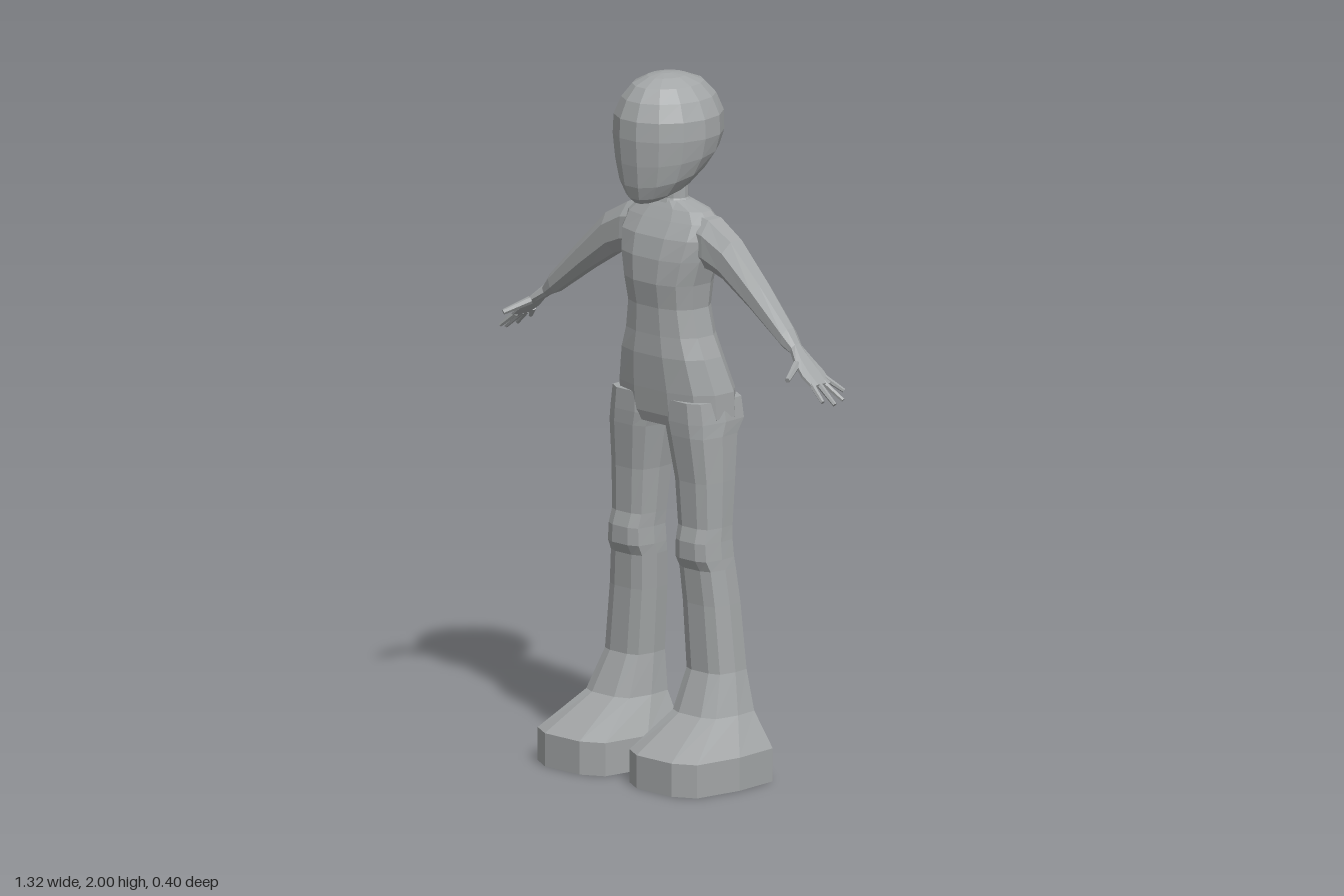
import * as THREE from 'three';

const grey = new THREE.MeshStandardMaterial({ color: 0xa3a6a7 });
grey.name = 'plain grey';

// Unit cross-sections, running from the front (or top) round to the side
const oval = (n, power = 1) => Array.from({ length: n }, (_, i) => {
  const a = ((i + 0.5) / n) * Math.PI * 2;
  const f = (t) => Math.sign(t) * Math.abs(t) ** power;
  return [f(Math.sin(a)), f(Math.cos(a))];
});
const round = oval(14);
const body = oval(12, 0.8);
const arm = oval(8, 0.9);
const sole = [[0.45, 1], [0.88, 0.8], [1, 0], [0.9, -0.78], [0.42, -1],
  [-0.42, -1], [-0.9, -0.78], [-1, 0], [-0.88, 0.8], [-0.45, 1]];

// Flat-shaded skin over a list of rings, closed at both ends
function loft(rings, flip = false) {
  const out = [];
  const tri = (a, b, c) => out.push(...a, ...(flip ? [...c, ...b] : [...b, ...c]));
  const n = rings[0].length;
  const mid = (r) => [0, 1, 2].map((k) => r.reduce((s, p) => s + p[k], 0) / n);
  const first = rings[0], last = rings[rings.length - 1];
  const c0 = mid(first), c1 = mid(last);
  for (let j = 0; j < n; j++) {
    const k = (j + 1) % n;
    for (let i = 0; i < rings.length - 1; i++) {
      const a = rings[i], b = rings[i + 1];
      tri(a[j], a[k], b[k]);
      tri(a[j], b[k], b[j]);
    }
    tri(c0, first[k], first[j]);
    tri(c1, last[j], last[k]);
  }
  const g = new THREE.BufferGeometry();
  g.setAttribute('position', new THREE.Float32BufferAttribute(out, 3));
  g.computeVertexNormals();
  return g;
}

// Level ring between xa..xb and back..front; tilt lowers it towards the front
const level = (profile, y, xa, xb, front, back, tilt = 0) => profile.map(([u, v]) => {
  const z = (front + back) / 2 + (v * (front - back)) / 2;
  return [(xa + xb) / 2 + (u * (xb - xa)) / 2, y - tilt * z, z];
});

// Arm ring between an upper and a lower edge point
const slanted = (s, xt, yt, xb, yb, front, back) => arm.map(([u, v]) => [
  s * ((xt + xb) / 2 + (v * (xt - xb)) / 2),
  (yt + yb) / 2 + (v * (yt - yb)) / 2,
  (front + back) / 2 + (u * (front - back)) / 2,
]);

export function createModel() {
  const model = new THREE.Group();
  model.name = 'figure';
  const add = (name, geometry, parent = model) => {
    const m = new THREE.Mesh(geometry, grey);
    m.name = name;
    parent.add(m);
    return m;
  };

  // Head: y, half width, front z, back z, tilt
  add('head', loft([
    [1.662, 0.05, 0.085, -0.05, 0.25], [1.68, 0.085, 0.1, -0.1, 0.25],
    [1.72, 0.118, 0.112, -0.15, 0.25], [1.77, 0.138, 0.121, -0.185, 0.12],
    [1.83, 0.148, 0.127, -0.2, 0], [1.885, 0.145, 0.125, -0.2, 0],
    [1.935, 0.122, 0.105, -0.18, 0], [1.972, 0.09, 0.075, -0.145, 0],
    [1.993, 0.05, 0.03, -0.09, 0], [2, 0.015, -0.01, -0.045, 0],
  ].map(([y, w, f, b, t]) => level(round, y, -w, w, f, b, t))));

  add('neck', loft([
    [1.6, 0.075, -0.005, -0.115], [1.64, 0.042, -0.022, -0.098], [1.73, 0.04, -0.02, -0.1],
  ].map(([y, w, f, b]) => level(round, y, -w, w, f, b))));

  // Torso from hips up to shoulders: y, half width, front z, back z
  add('torso', loft([
    [1.0, 0.15, 0.02, -0.13], [1.03, 0.195, 0.03, -0.18], [1.1, 0.193, 0.038, -0.18],
    [1.2, 0.166, 0.047, -0.15], [1.26, 0.142, 0.046, -0.138], [1.34, 0.127, 0.048, -0.13],
    [1.41, 0.135, 0.06, -0.137], [1.48, 0.155, 0.056, -0.142], [1.54, 0.17, 0.04, -0.14],
    [1.585, 0.165, 0.012, -0.128], [1.615, 0.13, -0.008, -0.115], [1.635, 0.05, -0.022, -0.1],
  ].map(([y, w, f, b]) => level(body, y, -w, w, f, b))));

  for (const s of [1, -1]) {
    const side = s > 0 ? 'left' : 'right';

    // Flared leg: y, inner x, outer x, front z, back z
    const legRings = [
      [0.195, 0.075, 0.27, 0.05, -0.137], [0.31, 0.087, 0.238, 0.0, -0.13],
      [0.5, 0.073, 0.218, 0.0, -0.125], [0.6, 0.066, 0.207, 0.006, -0.117],
      [0.63, 0.065, 0.204, 0.022, -0.115], [0.68, 0.067, 0.2, 0.022, -0.112],
      [0.72, 0.065, 0.198, 0.01, -0.113], [0.85, 0.055, 0.198, 0.014, -0.125],
      [0.98, 0.032, 0.196, 0.028, -0.14], [1.02, 0.02, 0.194, 0.03, -0.172],
      [1.08, 0.02, 0.185, 0.03, -0.17],
    ];
    const ring = ([y, a, b, f, k]) => level(sole, y, s * (s > 0 ? a : b), s * (s > 0 ? b : a), f, k);
    add(side + 'Leg', loft(legRings.map(ring)));
    add(side + 'Foot', loft([
      [0, 0.03, 0.336, 0.2, -0.17], [0.095, 0.03, 0.336, 0.2, -0.17], legRings[0],
    ].map(ring)));

    // Arm and palm: upper edge x y, lower edge x y, front z, back z
    add(side + 'Arm', loft([
      [0.06, 1.62, 0.1, 1.46, -0.005, -0.11], [0.16, 1.605, 0.168, 1.452, 0.0, -0.12],
      [0.25, 1.556, 0.215, 1.438, -0.005, -0.108], [0.36, 1.452, 0.322, 1.373, -0.012, -0.098],
      [0.47, 1.342, 0.455, 1.283, -0.02, -0.082], [0.5, 1.302, 0.488, 1.27, -0.028, -0.072],
      [0.535, 1.268, 0.527, 1.246, -0.008, -0.08], [0.57, 1.236, 0.562, 1.217, 0.0, -0.09],
      [0.603, 1.206, 0.597, 1.192, -0.008, -0.086],
    ].map((r) => slanted(s, ...r)), s < 0));

    // Fingers and thumb, lying on the slope of the hand
    const hand = new THREE.Group();
    hand.name = side + 'Fingers';
    model.add(hand);
    const onHand = (x, z) => new THREE.Vector3(s * x, 1.278 - (x - 0.5) * 0.8, z);
    [[0.58, -0.078, 0.624, -0.11], [0.59, -0.062, 0.648, -0.083], [0.59, -0.042, 0.655, -0.044],
      [0.59, -0.018, 0.642, -0.01], [0.53, -0.018, 0.566, 0.054]].forEach(([xa, za, xb, zb], i) => {
      const a = onHand(xa, za), b = onHand(xb, zb);
      const thick = i === 4 ? 1.3 : 1;
      const g = new THREE.CylinderGeometry(0.006 * thick, 0.009 * thick, a.distanceTo(b), 6).toNonIndexed();
      g.computeVertexNormals();
      const m = add(i === 4 ? 'thumb' : 'finger', g, hand);
      m.position.copy(a).lerp(b, 0.5);
      m.quaternion.setFromUnitVectors(new THREE.Vector3(0, 1, 0), b.clone().sub(a).normalize());
    });
  }
  return model;
}
